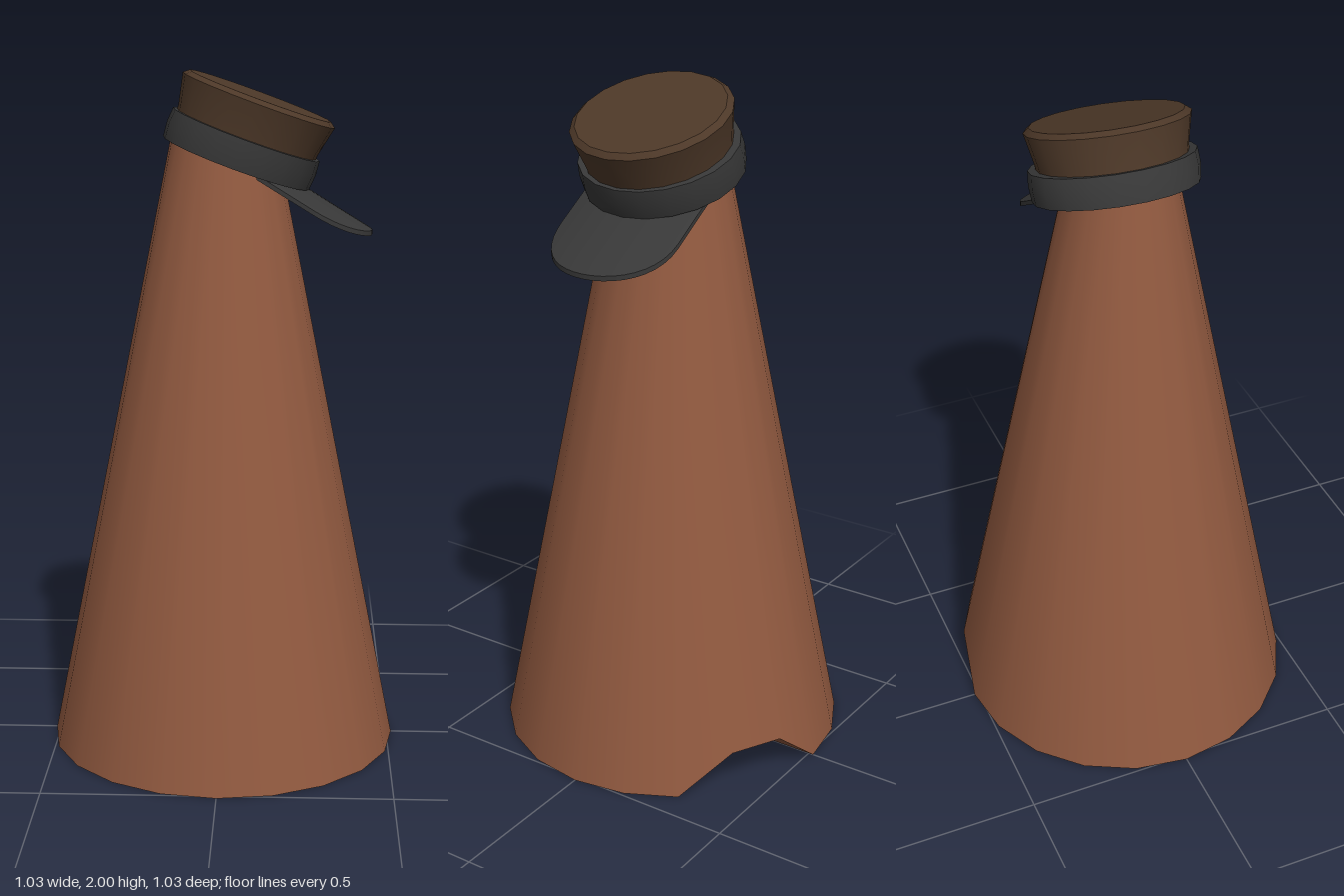
import * as THREE from 'three';
import { toCreasedNormals } from 'three/addons/utils/BufferGeometryUtils.js';

const SIDES = 20;

function part(name, geometry, color) {
  const mesh = new THREE.Mesh(geometry, new THREE.MeshStandardMaterial({ color }));
  mesh.name = name;
  return mesh;
}

// Turned solid with crisp edges from [radius, height] pairs
function turned(profile) {
  const points = profile.map(([r, y]) => new THREE.Vector2(r, y));
  return toCreasedNormals(new THREE.LatheGeometry(points, SIDES), 0.6);
}

// Tapered body with a chip in the bottom rim at the back
function bodyGeometry() {
  const height = 1.86;
  const geometry = new THREE.CylinderGeometry(0.142, 0.515, height, SIDES);
  geometry.translate(0, height / 2, 0);
  const p = geometry.attributes.position;
  for (let i = 0; i < p.count; i++) {
    const x = p.getX(i);
    if (p.getY(i) < 0.01 && x > 0.1 && x < 0.35 && p.getZ(i) < -0.35) p.setY(i, 0.13);
  }
  return geometry;
}

// Thin peak: a slab bent into a sloping, rounded tongue with drooping sides
function peakGeometry() {
  const geometry = new THREE.BoxGeometry(1, 1, 1, 8, 1, 20);
  const p = geometry.attributes.position;
  for (let i = 0; i < p.count; i++) {
    const t = Math.sin(p.getZ(i) * Math.PI);
    const s = p.getX(i) + 0.5;
    const edge = 0.26 + 0.172 * Math.sqrt(Math.max(0, 1 - t * t));
    const x = 0.1 + s * (edge - 0.1);
    const y = 1.652 - 0.617 * (x - 0.25) - 0.032 * t * t + p.getY(i) * 0.014;
    p.setXYZ(i, x, y, t * 0.195);
  }
  return toCreasedNormals(geometry, 0.6);
}

export function createModel() {
  const model = new THREE.Group();
  model.name = 'cappedCone';
  model.add(part('body', bodyGeometry(), 0x925a40));

  // Cap, tipped towards +x
  const cap = new THREE.Group();
  cap.name = 'cap';
  cap.position.set(0.037, 1.737, 0);
  cap.rotation.z = -THREE.MathUtils.degToRad(20);

  const band = part('capBand', turned([[0, 0], [0.236, 0], [0.24, 0.045], [0.236, 0.087], [0, 0.087]]), 0x383838);
  band.scale.x = 0.95;
  const crown = part('capCrown', turned([[0, 0.05], [0.21, 0.05], [0.213, 0.1], [0.232, 0.19], [0.215, 0.203], [0, 0.203]]), 0x4d3828);
  cap.add(band, crown);
  model.add(cap);

  model.add(part('capPeak', peakGeometry(), 0x383838));
  return model;
}
